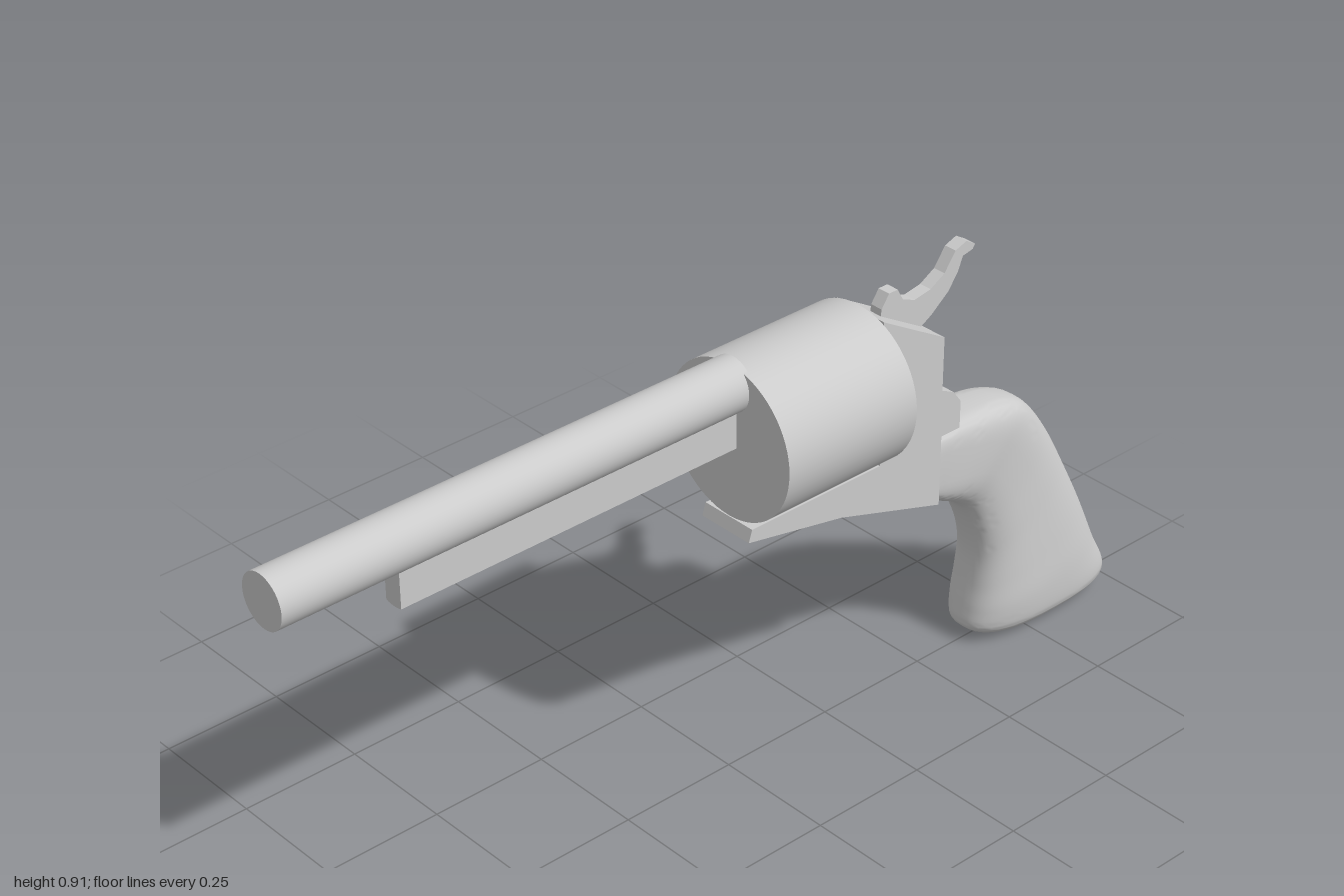
import * as THREE from 'three';
import { toCreasedNormals } from 'three/addons/utils/BufferGeometryUtils.js';

const material = new THREE.MeshStandardMaterial({ color: 0xcccccc });

function add(group, name, geometry) {
  const mesh = new THREE.Mesh(geometry, material);
  mesh.name = name;
  group.add(mesh);
}

// Round bar lying along z
function rod(radius, y, zFront, zBack, sides) {
  return new THREE.CylinderGeometry(radius, radius, zFront - zBack, sides)
    .rotateX(Math.PI / 2).translate(0, y, (zFront + zBack) / 2);
}

// Flat plate from a side profile of [z, y] points, centred on x = 0
function plate(profile, width) {
  const shape = new THREE.Shape(profile.map(([z, y]) => new THREE.Vector2(-z, y)));
  return new THREE.ExtrudeGeometry(shape, { depth: width, bevelEnabled: false })
    .translate(0, 0, -width / 2).rotateY(Math.PI / 2);
}

// Grip lofted through sections: [front z, front y, back z, back y, half width, squareness]
function loft(sections, rows, sides) {
  const front = new THREE.CatmullRomCurve3(sections.map(s => new THREE.Vector3(s[4], s[1], s[0])));
  const back = new THREE.CatmullRomCurve3(sections.map(s => new THREE.Vector3(s[5], s[3], s[2])));
  const positions = [], index = [];
  const power = (v, n) => Math.sign(v) * Math.abs(v) ** (2 / n);
  const start = new THREE.Vector3(), end = new THREE.Vector3();
  for (let i = 0; i <= rows; i++) {
    const f = front.getPoint(i / rows), b = back.getPoint(i / rows);
    const mid = f.clone().add(b).multiplyScalar(0.5);
    if (i === 0) start.copy(mid);
    end.copy(mid);
    for (let j = 0; j < sides; j++) {
      const a = j / sides * Math.PI * 2;
      const c = power(Math.cos(a), b.x) / 2;
      positions.push(f.x * power(Math.sin(a), b.x), mid.y + c * (b.y - f.y), mid.z + c * (b.z - f.z));
    }
  }
  const cap = (rows + 1) * sides;
  positions.push(0, start.y, start.z, 0, end.y, end.z);
  for (let j = 0; j < sides; j++) {
    const k = (j + 1) % sides;
    for (let i = 0; i < rows; i++) {
      const p = i * sides, q = p + sides;
      index.push(p + j, p + k, q + j, p + k, q + k, q + j);
    }
    index.push(cap, k, j, cap + 1, rows * sides + j, rows * sides + k);
  }
  const geometry = new THREE.BufferGeometry();
  geometry.setAttribute('position', new THREE.Float32BufferAttribute(positions, 3));
  geometry.setIndex(index);
  return toCreasedNormals(geometry, 0.9);
}

export function createModel() {
  const model = new THREE.Group();
  model.name = 'revolver';

  add(model, 'barrel', rod(0.053, 0.832, 1, -0.01, 48));
  add(model, 'cylinder', rod(0.157, 0.717, 0, -0.312, 64));

  // Ejector housing under the barrel, with a slightly rounded underside
  const housing = new THREE.Shape();
  housing.moveTo(-0.02, 0.8);
  housing.lineTo(-0.02, 0.709);
  housing.quadraticCurveTo(0, 0.703, 0.02, 0.709);
  housing.lineTo(0.02, 0.8);
  add(model, 'ejectorHousing',
    new THREE.ExtrudeGeometry(housing, { depth: 0.745, bevelEnabled: false, curveSegments: 8 }));

  // Frame: lower rail, recoil shield and rear hump
  add(model, 'frame', plate([
    [0.008, 0.533], [-0.222, 0.487], [-0.478, 0.405], [-0.478, 0.555], [-0.526, 0.555],
    [-0.526, 0.613], [-0.506, 0.64], [-0.476, 0.655], [-0.476, 0.768],
    [-0.318, 0.86], [-0.318, 0.558], [0, 0.558],
  ], 0.124));

  // Hammer with a curled spur
  add(model, 'hammer', plate([
    [-0.355, 0.81], [-0.36, 0.85], [-0.378, 0.876], [-0.4, 0.876], [-0.414, 0.85],
    [-0.445, 0.838], [-0.485, 0.845], [-0.52, 0.865], [-0.547, 0.902], [-0.575, 0.912],
    [-0.598, 0.898], [-0.592, 0.889], [-0.567, 0.884], [-0.555, 0.855], [-0.532, 0.823],
    [-0.49, 0.79], [-0.462, 0.774], [-0.44, 0.74],
  ], 0.027));

  add(model, 'grip', loft([
    [-0.478, 0.406, -0.478, 0.556, 0.062, 5],
    [-0.505, 0.388, -0.59, 0.554, 0.066, 4],
    [-0.545, 0.366, -0.685, 0.54, 0.067, 3.4],
    [-0.585, 0.333, -0.748, 0.505, 0.064, 3],
    [-0.615, 0.275, -0.802, 0.435, 0.065, 2.8],
    [-0.633, 0.2, -0.853, 0.345, 0.072, 2.6],
    [-0.629, 0.13, -0.908, 0.235, 0.081, 2.6],
    [-0.62, 0.075, -0.957, 0.125, 0.087, 2.6],
    [-0.618, 0.037, -0.998, 0.037, 0.083, 2.6],
    [-0.64, 0.017, -0.982, 0.018, 0.07, 2.6],
    [-0.69, 0.004, -0.93, 0.004, 0.048, 2.5],
    [-0.76, 0.001, -0.86, 0.001, 0.018, 2.4],
  ], 66, 48));

  return model;
}
